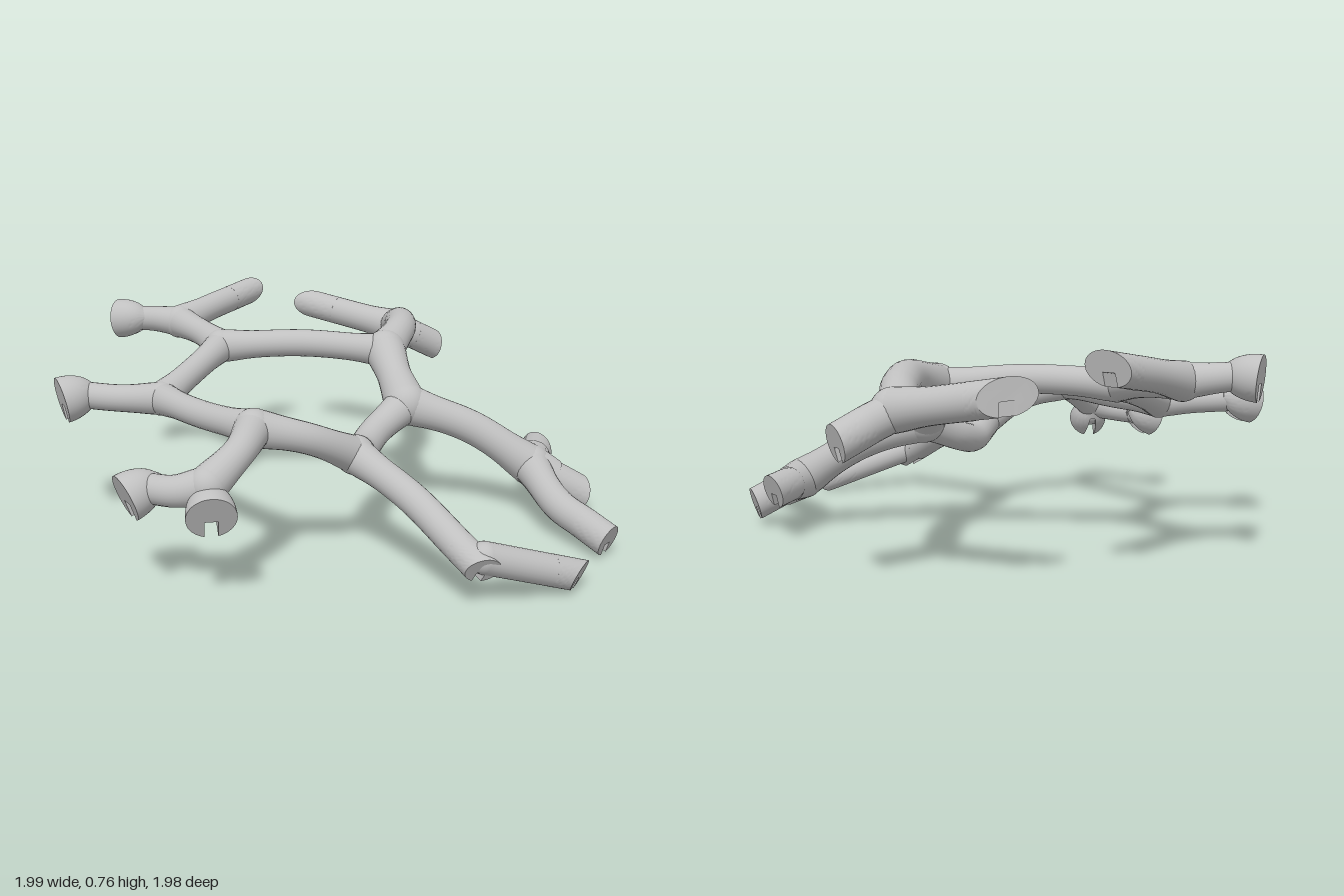
import * as THREE from 'three';
import { toCreasedNormals } from 'three/addons/utils/BufferGeometryUtils.js';

const V = (p) => new THREE.Vector3(...p);

// Joints of the branching lattice
const A = [-0.38, 0.6, -0.29], B = [0.26, 0.59, -0.2], C = [0.39, 0.57, -0.76];
const D = [-0.55, 0.64, -0.6], E = [-0.6, 0.49, 0.09], F = [-0.28, 0.51, 0.57];
const G = [-0.43, 0.4, 0.81], H = [0.07, 0.37, 0.45], I = [0.42, 0.172, 0.917];
const J = [0.31, 0.43, 0.02], K = [0.78, 0.2, 0.1];

// Unit disc with a slot cut in from its lower edge
function notchedDisc() {
  const w = 0.27, a = Math.asin(w), s = new THREE.Shape();
  s.absarc(0, 0, 1, -Math.PI / 2 + a, Math.PI * 1.5 - a, false);
  s.lineTo(-w, -0.2);
  s.lineTo(w, -0.2);
  s.closePath();
  return s;
}

export function createModel() {
  const model = new THREE.Group();
  model.name = 'branchingLattice';
  const grey = new THREE.MeshStandardMaterial({ color: 0xc0c0c0 });
  grey.name = 'grey';

  const add = (name, geometry) => {
    const mesh = new THREE.Mesh(geometry, grey);
    mesh.name = name;
    model.add(mesh);
    return mesh;
  };

  const ball = (name, p, r) =>
    add(name, new THREE.SphereGeometry(r, 28, 18)).position.copy(p);

  // Round tube that widens softly where it meets a joint
  function branch(name, points, r, flareStart = 0.22, flareEnd = 0.22) {
    const curve = new THREE.CatmullRomCurve3(points);
    const length = curve.getLength();
    const rings = Math.max(6, Math.ceil(length / 0.015)), sides = 24;
    const geo = new THREE.TubeGeometry(curve, rings, r, sides);
    const pos = geo.attributes.position, v = new THREE.Vector3();
    const bump = (s) => Math.exp(-((s / 0.09) ** 2));
    for (let i = 0; i <= rings; i++) {
      const c = curve.getPointAt(i / rings), s = (i / rings) * length;
      const k = 1 + Math.max(flareStart * bump(s), flareEnd * bump(length - s));
      for (let j = 0; j <= sides; j++) {
        const n = i * (sides + 1) + j;
        v.fromBufferAttribute(pos, n).sub(c).multiplyScalar(k).add(c);
        pos.setXYZ(n, v.x, v.y, v.z);
      }
    }
    add(name, geo);
  }

  // Slotted end piece; radius(t) gives its size from root (0) to cut face (1)
  function tip(name, start, d, n, len, radius) {
    const geo = new THREE.ExtrudeGeometry(notchedDisc(),
      { depth: 1, steps: 12, bevelEnabled: false, curveSegments: 20 });
    const X = new THREE.Vector3(0, 1, 0).cross(d).normalize();
    const Y = d.clone().cross(X);
    const pos = geo.attributes.position, o = new THREE.Vector3();
    for (let i = 0; i < pos.count; i++) {
      const t = pos.getZ(i), R = radius(t);
      o.set(0, 0, 0).addScaledVector(X, pos.getX(i) * R).addScaledVector(Y, pos.getY(i) * R);
      const slant = -o.dot(n) / d.dot(n);
      o.addScaledVector(d, t * (len + slant)).add(start);
      pos.setXYZ(i, o.x, o.y, o.z);
    }
    add(name, toCreasedNormals(geo, 0.7));
  }

  // Branch from a joint to a free end with a slanted cut
  function cutBranch(name, path, r, normal, flare) {
    const pts = path.map(V), end = pts.pop(), n = V(normal).normalize();
    const d = end.clone().sub(pts[pts.length - 1]).normalize();
    const start = end.clone().addScaledVector(d, -0.12);
    branch(name, [...pts, start], r, flare, 0);
    ball(name + 'Core', start, r * 0.99);
    tip(name + 'Tip', start, d, n, 0.12, () => r);
  }

  // Branch whose end enters a dome with a flat outer face
  function bellBranch(name, path, r, normal, bell) {
    const pts = path.map(V), end = pts.pop(), n = V(normal).normalize();
    const root = end.clone().addScaledVector(n, -0.07);
    branch(name, [...pts, root], r, 0.22, 0);
    ball(name + 'Core', root, r);
    const start = end.clone().addScaledVector(n, -0.135);
    tip(name + 'Dome', start, n, n, 0.135,
      (t) => bell * Math.max(0.2, (1 - (1 - t) ** 2.2) ** 0.6));
  }

  // Joints
  const joints = { A: [A, 0.066], B: [B, 0.08], C: [C, 0.074], D: [D, 0.068], E: [E, 0.063],
    F: [F, 0.066], G: [G, 0.064], H: [H, 0.07], I: [I, 0.053], J: [J, 0.083], K: [K, 0.079] };
  for (const [key, [p, r]] of Object.entries(joints)) ball('joint' + key, V(p), r);

  // Branches of the central ring and those leading out of it
  const links = [
    ['ringBack', [A, [-0.06, 0.615, -0.245], B], 0.053],
    ['ringBackRight', [A, E], 0.05],
    ['ringFrontRight', [E, [-0.45, 0.49, 0.32], F], 0.049],
    ['ringFront', [F, [-0.1, 0.46, 0.54], H], 0.053],
    ['ringFrontLeft', [H, [0.115, 0.33, 0.27], [0.185, 0.36, 0.13], J], 0.057],
    ['ringLeft', [J, [0.28, 0.52, -0.09], B], 0.065],
    ['backRightLink', [A, [-0.45, 0.62, -0.44], D], 0.052],
    ['frontRightLink', [F, [-0.33, 0.47, 0.7], G], 0.052],
    ['leftLink', [J, [0.56, 0.34, 0.05], K], 0.063],
  ];
  for (const [name, path, r] of links) branch(name, path.map(V), r);

  // Free ends with slanted cuts
  cutBranch('backLeftBranch', [B, [0.345, 0.635, -0.38], [0.375, 0.625, -0.58], C, [0.565, 0.475, -0.825]],
    0.063, [0.85, -0.25, -0.46]);
  cutBranch('backLeftArm', [C, [0.045, 0.635, -0.985]], 0.06, [-0.12, 0, -1]);
  cutBranch('backRightArm', [D, [-0.42, 0.675, -0.74], [-0.26, 0.71, -0.915]], 0.055, [0.1, -0.25, -0.95]);
  cutBranch('leftBackArm', [K, [0.865, 0.19, -0.12]], 0.064, [0.8, -0.3, -0.5]);
  cutBranch('leftStub', [K, [0.97, 0.095, 0.12]], 0.063, [0.9, -0.3, -0.33]);
  cutBranch('leftFrontArm', [K, [0.825, 0.125, 0.34], [0.935, 0.075, 0.58]], 0.058, [0.6, -0.3, 0.6]);
  cutBranch('frontLongArm', [H, [0.23, 0.29, 0.68], [0.41, 0.145, 0.955]], 0.053, [0.1, -0.5, 0.85]);
  cutBranch('frontOuterArm', [I, [0.76, 0.06, 0.825]], 0.053, [0.75, -0.35, 0.5], 0);

  // Free ends opening into bells
  bellBranch('backRightBell', [D, [-0.64, 0.65, -0.615], [-0.8, 0.65, -0.64]], 0.049, [-0.9, -0.1, -0.42], 0.08);
  bellBranch('rightBell', [E, [-0.75, 0.495, 0.09], [-0.96, 0.49, 0.085]], 0.049, [-0.9, -0.2, 0.32], 0.085);
  bellBranch('frontRightBell', [G, [-0.53, 0.375, 0.785], [-0.69, 0.34, 0.74]], 0.049, [-0.85, -0.35, 0.4], 0.08);
  bellBranch('frontBell', [G, [-0.42, 0.32, 0.89]], 0.049, [0.08, -0.4, 0.9], 0.08);

  return model;
}
